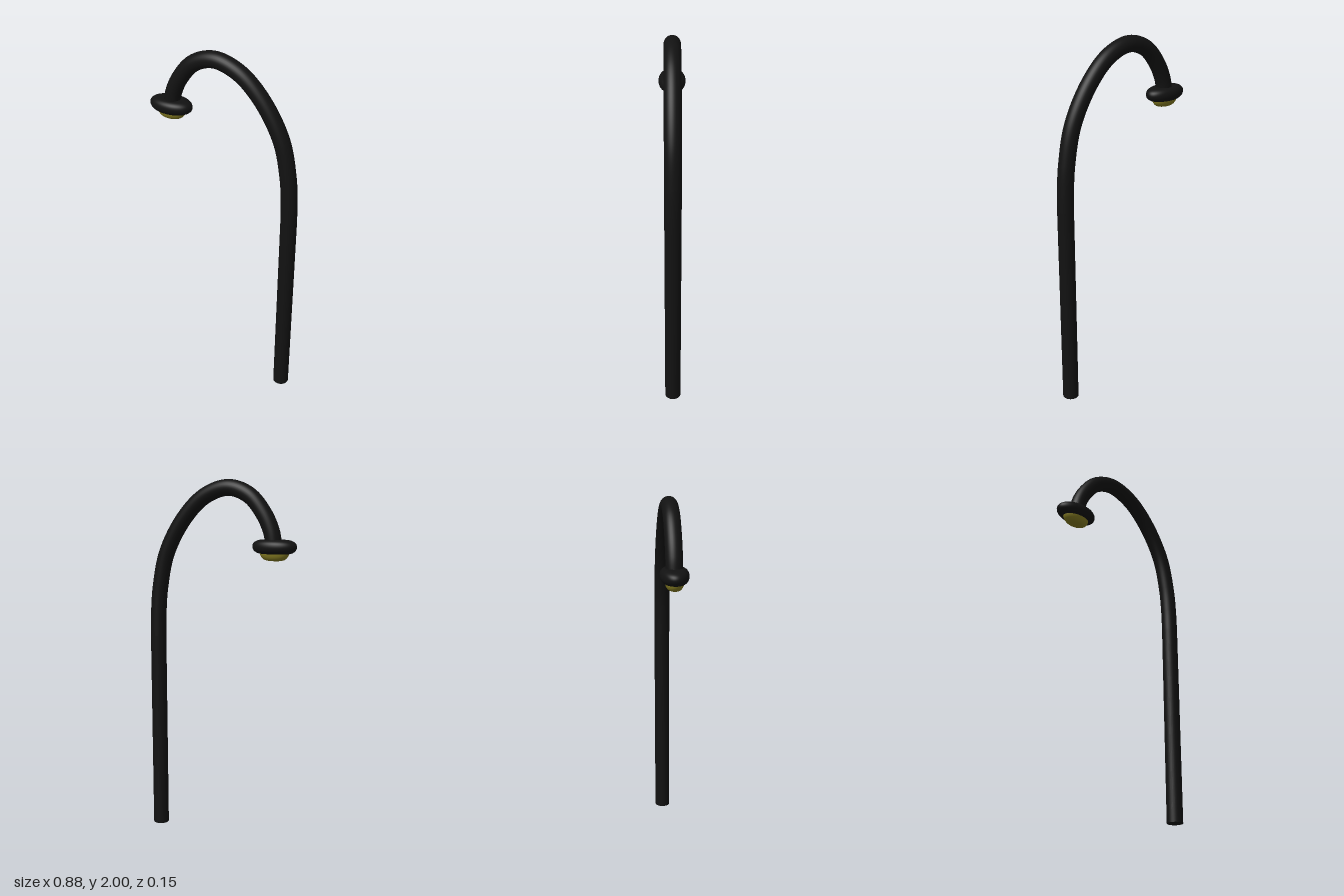
import * as THREE from 'three';

const black = new THREE.MeshStandardMaterial({ color: 0x121212 });
const glow = new THREE.MeshStandardMaterial({ color: 0x857c22 });
const RADIUS = 0.044;

function addMesh(parent, name, geometry, material) {
  const mesh = new THREE.Mesh(geometry, material);
  mesh.name = name;
  parent.add(mesh);
  return mesh;
}

// Smooth turned shape from a few profile points, bottom to top
function turned(points) {
  const curve = new THREE.SplineCurve(points.map(([r, y]) => new THREE.Vector2(r, y)));
  const profile = curve.getPoints(32);
  profile.forEach((p) => { p.x = Math.max(p.x, 0); });
  return new THREE.LatheGeometry(profile, 48);
}

export function createModel() {
  const model = new THREE.Group();
  model.name = 'streetLamp';

  // Straight post, closed at the foot
  const post = addMesh(model, 'post', new THREE.CylinderGeometry(RADIUS, RADIUS, 1.15, 32), black);
  post.position.set(0.392, 0.575, 0);

  // Arched neck running from the post over to the lamp head
  const path = new THREE.CatmullRomCurve3([
    [0.392, 1.13], [0.389, 1.25], [0.376, 1.4], [0.33, 1.6], [0.22, 1.79],
    [0.09, 1.912], [-0.05, 1.956], [-0.17, 1.916], [-0.255, 1.82], [-0.298, 1.73], [-0.312, 1.66],
  ].map(([x, y]) => new THREE.Vector3(x, y, 0)));
  addMesh(model, 'neck', new THREE.TubeGeometry(path, 96, RADIUS, 32), black);

  // Oval lamp head
  const head = new THREE.Group();
  head.name = 'lampHead';
  head.position.set(-0.316, 1.652, 0);
  head.scale.z = 0.6;
  model.add(head);

  addMesh(head, 'shade', turned([
    [0, -0.037], [0.06, -0.037], [0.092, -0.034], [0.115, -0.02], [0.123, 0],
    [0.115, 0.02], [0.092, 0.033], [0.06, 0.037], [0, 0.037],
  ]), black);

  // Shallow bulb below the shade
  addMesh(head, 'bulb', turned([
    [0, -0.074], [0.03, -0.0735], [0.055, -0.068], [0.072, -0.054], [0.081, -0.035], [0.083, -0.015],
  ]), glow);

  return model;
}
